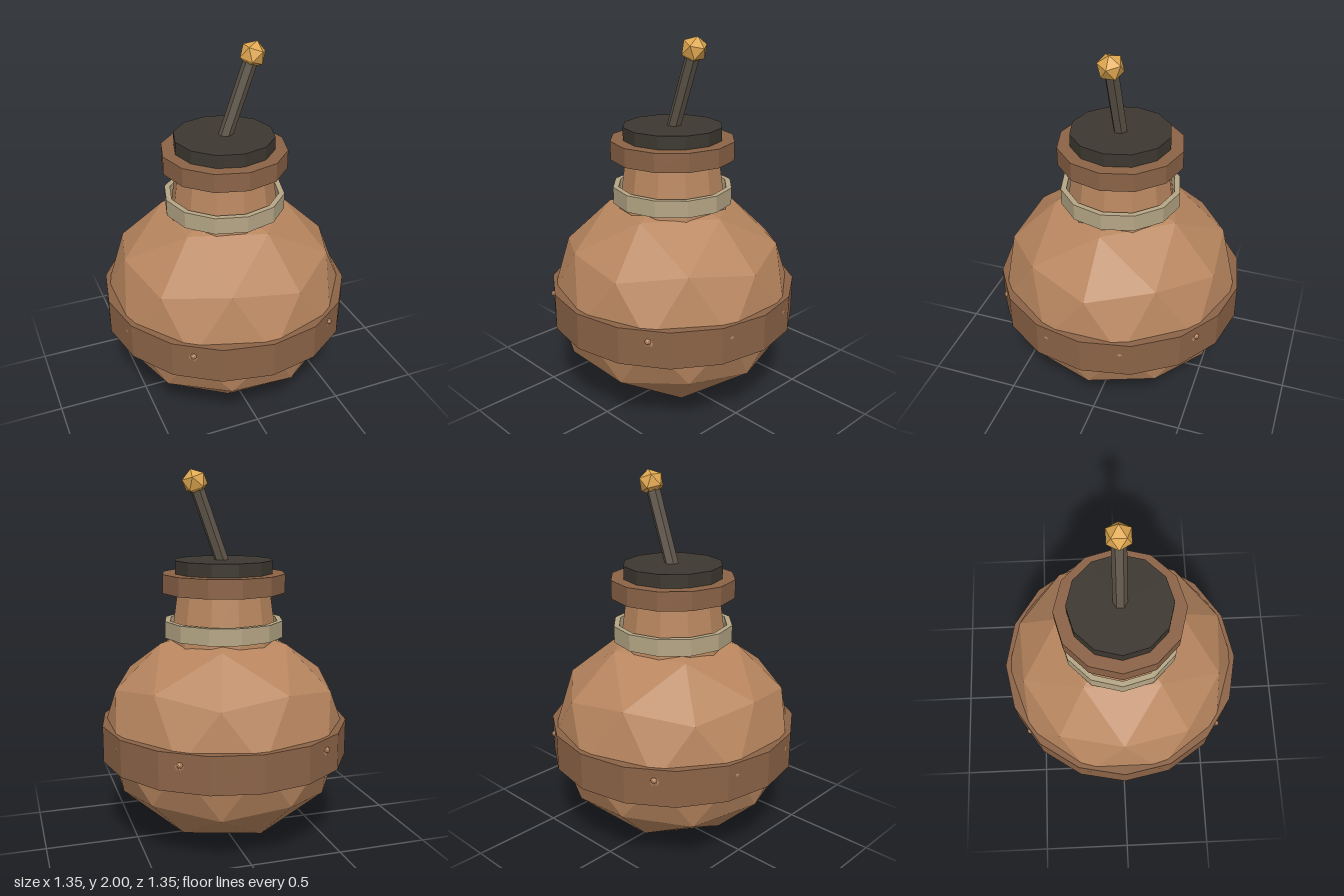
import * as THREE from 'three';

const mat = (color) => new THREE.MeshStandardMaterial({ color, flatShading: true, roughness: 0.9 });
const clay = mat(0xb8865f), leather = mat(0x8b6347), cord = mat(0xb5a685);
const dark = mat(0x3d3830), fuseGrey = mat(0x5f564a), gold = mat(0xe0a850);

function add(parent, name, geometry, material, x = 0, y = 0, z = 0) {
  const mesh = new THREE.Mesh(geometry, material);
  mesh.name = name;
  mesh.position.set(x, y, z);
  parent.add(mesh);
  return mesh;
}

// Icosphere standing on a vertex, with an upper ring vertex towards +x
function icosphere(radius, detail) {
  const golden = (1 + Math.sqrt(5)) / 2;
  return new THREE.IcosahedronGeometry(radius, detail).rotateZ(-Math.atan(1 / golden));
}

// Upright faceted cylinder between two heights
function drum(parent, name, material, y0, y1, r0, r1, sides) {
  return add(parent, name, new THREE.CylinderGeometry(r1, r0, y1 - y0, sides), material, 0, (y0 + y1) / 2, 0);
}

export function createModel() {
  const model = new THREE.Group();
  model.name = 'fusedPot';

  // Round pot, slightly squashed
  add(model, 'body', icosphere(1, 1).scale(0.67, 0.59, 0.67), clay, 0, 0.59, 0);

  // Belt around the middle with four small rivets
  drum(model, 'belt', leather, 0.46, 0.66, 0.675, 0.675, 16);
  for (const sx of [-1, 1]) {
    for (const sz of [-1, 1]) {
      add(model, 'rivet', new THREE.IcosahedronGeometry(0.016, 1), clay, sx * 0.385, 0.6, sz * 0.54);
    }
  }

  // Tapered neck, lip and stopper
  drum(model, 'neck', clay, 1.05, 1.4, 0.3, 0.25, 12);
  drum(model, 'lip', leather, 1.36, 1.46, 0.335, 0.335, 12);
  drum(model, 'stopper', dark, 1.44, 1.53, 0.267, 0.267, 12);

  // Loose ring around the neck
  const ring = [[0.295, 1.12], [0.325, 1.12], [0.325, 1.21], [0.295, 1.21], [0.295, 1.12]]
    .map(([r, y]) => new THREE.Vector2(r, y));
  add(model, 'neckRing', new THREE.LatheGeometry(ring, 12), cord);

  // Leaning fuse with a faceted tip
  const fuse = new THREE.Group();
  fuse.name = 'fuse';
  fuse.position.set(0, 1.5, 0);
  fuse.rotation.z = -Math.atan2(0.155, 0.434);
  model.add(fuse);
  add(fuse, 'fuseCord', new THREE.CylinderGeometry(0.037, 0.037, 0.44, 6), fuseGrey, 0, 0.2, 0);
  add(fuse, 'fuseTip', icosphere(0.07, 0), gold, 0, 0.461, 0);

  return model;
}
